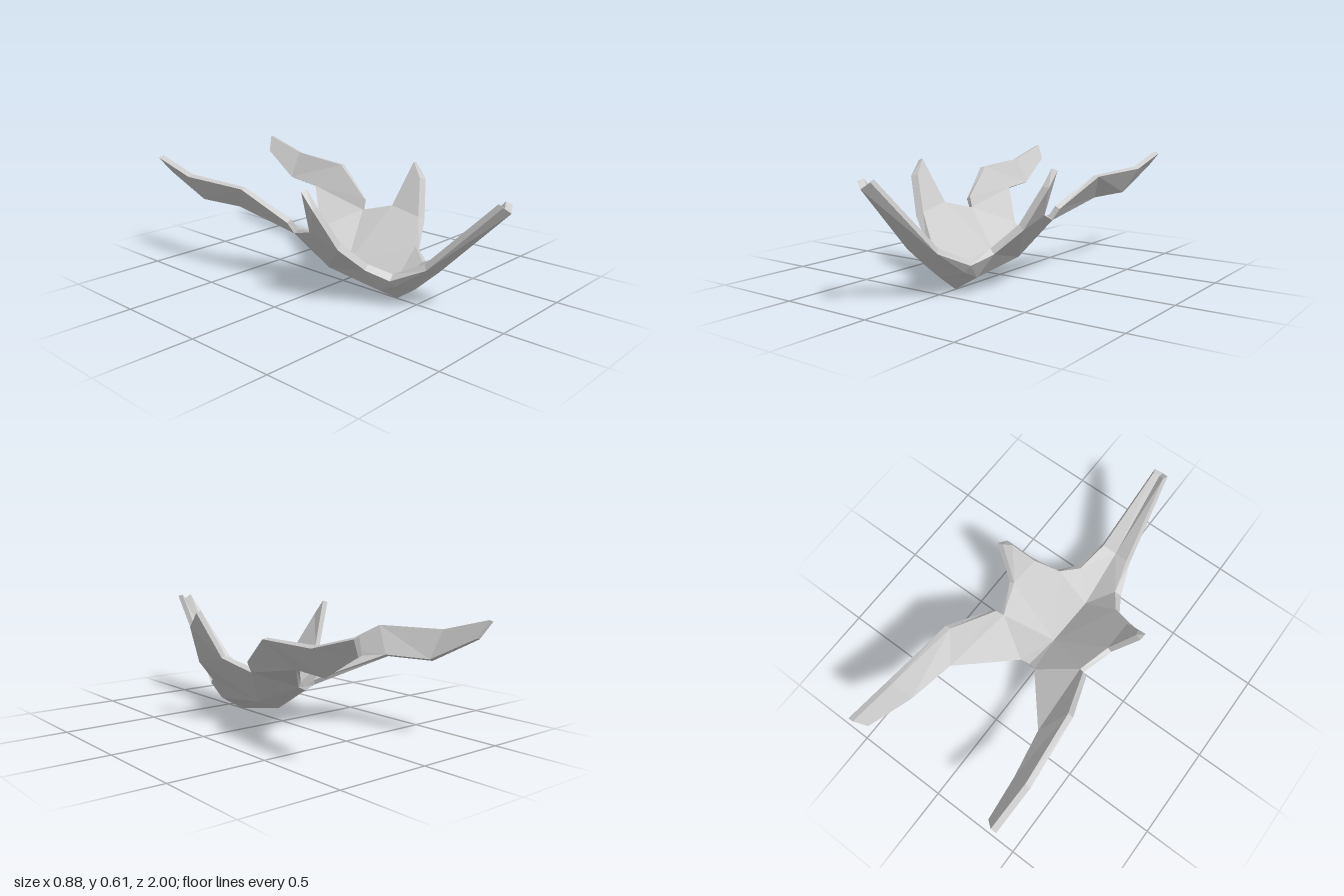
import * as THREE from 'three';

// Left-half points of the outer skin: c = centre line, r = rim, s/p = side creases
const outer = {
  c0: [0, .57, 1], c1: [0, .205, .63], c2: [0, .08, .49], k: [0, 0, .375], c3: [0, .065, .03], c4: [0, .2, -.19],
  p: [.122, .12, .46], s: [.135, .08, .375], s2: [.14, .12, .03],
  r0: [.04, .6, .98], r1: [.093, .235, .62], r2: [.155, .155, .45], r3: [.215, .2, .345],
  r4: [.34, .32, .28], r5: [.435, .52, .21], r6: [.44, .6, .14], r7: [.33, .365, .08],
  r8: [.27, .31, -.09], r9: [.305, .37, -.105], r10: [.395, .52, -.35], r11: [.435, .53, -.74],
  r12: [.44, .6, -1], r13: [.385, .52, -.97], r14: [.345, .39, -.73], r15: [.3, .385, -.48], r16: [.055, .225, -.2],
};

// Matching points of the inner skin, which has fewer creases
const inner = {
  c0: [0, .585, .965], c1: [0, .235, .61], k: [0, .04, .335], c3: [0, .1, .03], c4: [0, .22, -.19],
  r0: [.03, .61, .95], r1: [.078, .26, .6], r2: [.12, .18, .44], r3: [.19, .225, .34],
  r4: [.305, .345, .265], r5: [.395, .53, .2], r6: [.41, .61, .145], r7: [.305, .375, .085],
  r8: [.25, .33, -.08], r9: [.28, .385, -.1], r10: [.365, .525, -.35], r11: [.405, .54, -.74],
  r12: [.41, .61, -1], r13: [.365, .525, -.97], r14: [.325, .4, -.73], r15: [.28, .395, -.48], r16: [.045, .25, -.205],
};

// Facets shared by both skins: side wing and long rear arm
const wing = 'r4 r7 r5, r5 r7 r6';
const arm = 'r8 r16 r15, r8 r15 r9, r9 r15 r10, r10 r15 r14, r10 r14 r11, r11 r14 r13, r11 r13 r12';
const outerBody = 'c0 c1 r1 r0, c1 c2 p r1, c2 k s, c2 s p, r1 p r2, p s r2, s r3 r2, s k c3 s2, ' +
  'r3 s s2, r3 s2 r4, r4 s2 r7, r7 s2 r8, r8 s2 r16, s2 c3 c4 r16';
const innerBody = 'c0 c1 r1 r0, c1 k r2, c1 r2 r1, k r3 r2, r3 k c3, r3 c3 r4, r4 c3 r7, r7 c3 r8, r8 c3 r16, c3 c4 r16';

const material = new THREE.MeshStandardMaterial({ color: 0xcccccc, flatShading: true });

const facets = (points, text) => text.split(', ').map(f => f.split(' ').map(n => points[n]));

// Fan each facet into triangles and add its mirror image with reversed winding
function mirroredMesh(name, polygons) {
  const positions = [];
  for (const poly of polygons) {
    for (let i = 1; i < poly.length - 1; i++) {
      const tri = [poly[0], poly[i], poly[i + 1]];
      for (const v of tri) positions.push(...v);
      for (const [x, y, z] of tri.reverse()) positions.push(-x, y, z);
    }
  }
  const geometry = new THREE.BufferGeometry();
  geometry.setAttribute('position', new THREE.Float32BufferAttribute(positions, 3));
  geometry.computeVertexNormals();
  const mesh = new THREE.Mesh(geometry, material);
  mesh.name = name;
  return mesh;
}

export function createModel() {
  const group = new THREE.Group();
  group.name = 'facetedShell';

  // Outer skin with keel, prow, wings and arms
  group.add(mirroredMesh('outerSkin', facets(outer, `${outerBody}, ${wing}, ${arm}`)));

  // Inner skin faces the other way
  const lining = facets(inner, `${innerBody}, ${wing}, ${arm}`).map(f => f.reverse());
  group.add(mirroredMesh('innerSkin', lining));

  // Rim strip closing the thickness from prow tip to rear centre
  const loop = ['c0', ...Array.from({ length: 17 }, (_, i) => `r${i}`), 'c4'];
  const strip = loop.slice(1).map((b, i) => [outer[loop[i]], outer[b], inner[b], inner[loop[i]]]);
  group.add(mirroredMesh('rim', strip));

  return group;
}
